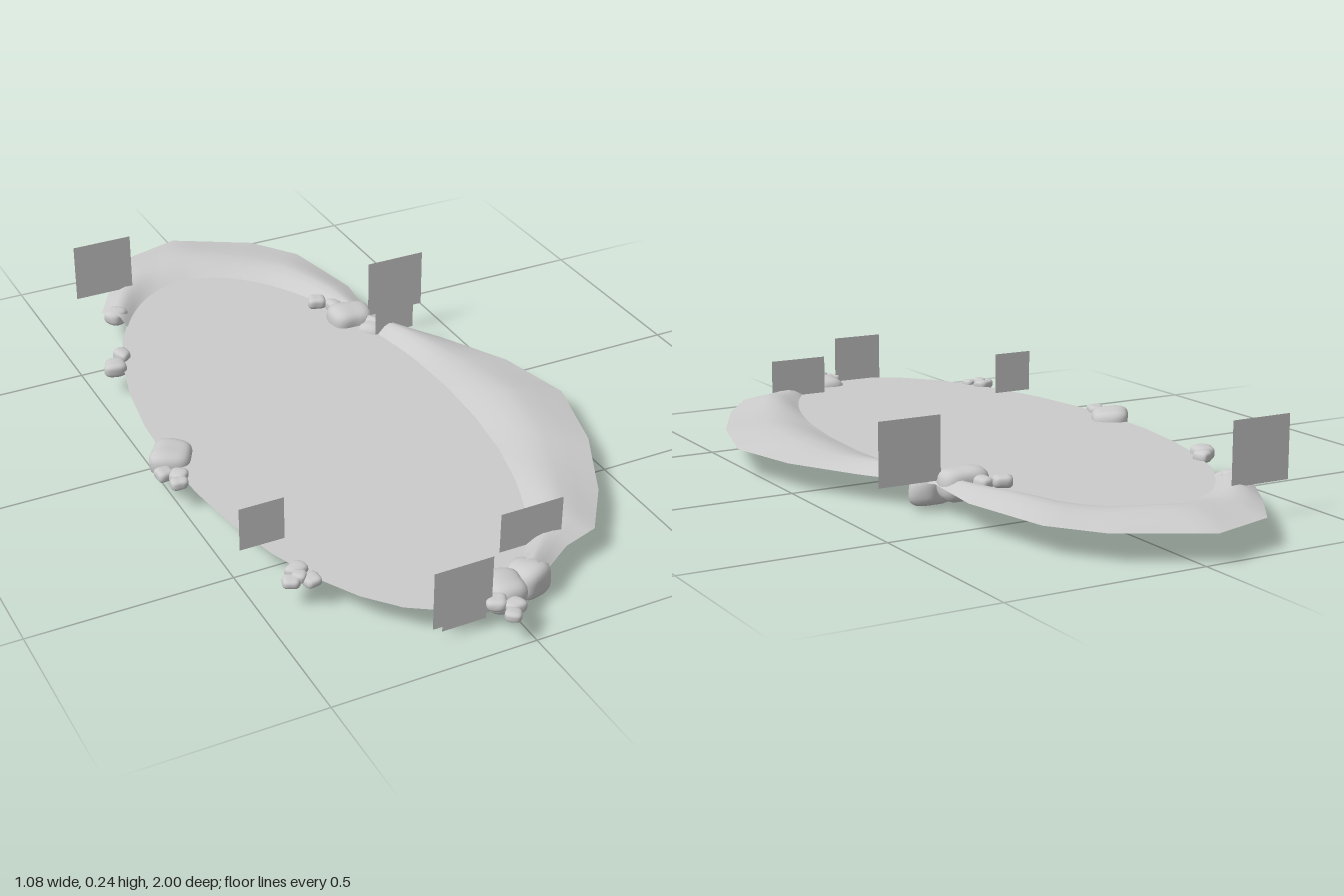
import * as THREE from 'three';
import { mergeVertices } from 'three/addons/utils/BufferGeometryUtils.js';

const mat = new THREE.MeshStandardMaterial({ color: 0xcccccc, side: THREE.DoubleSide });
const POND = { x: -0.1, z: 0.075, rx: 0.387, rz: 0.835, y: 0.076 };

function add(parent, name, geometry, x = 0, y = 0, z = 0) {
  const mesh = new THREE.Mesh(geometry, mat);
  mesh.name = name;
  mesh.position.set(x, y, z);
  parent.add(mesh);
  return mesh;
}

// Sheet sloping from a polygonal outer edge over a low crest to the pond rim
function bankGeometry(outer, a0, a1, crest) {
  const profile = [[0, 0], [0.25, 0.55], [0.45, 0.95], [0.6, 1], [0.75, 0.75], [0.88, 0.3], [1, -0.1]];
  const sub = 5, steps = (outer.length - 1) * sub, cols = profile.length;
  const pos = [], index = [];
  for (let i = 0; i <= steps; i++) {
    const seg = Math.min(Math.floor(i / sub), outer.length - 2);
    const f = i / sub - seg;
    const [p, q] = [outer[seg], outer[seg + 1]];
    const ox = p[0] + (q[0] - p[0]) * f, oz = p[1] + (q[1] - p[1]) * f;
    const a = THREE.MathUtils.degToRad(a0 + (a1 - a0) * i / steps);
    const ix = POND.x + Math.cos(a) * POND.rx * 0.985;
    const iz = POND.z + Math.sin(a) * POND.rz * 0.985;
    const wave = 1 + 0.2 * Math.sin(i * 0.5);
    for (const [t, h] of profile) {
      pos.push(ox + (ix - ox) * t, POND.y + h * crest * wave, oz + (iz - oz) * t);
    }
  }
  for (let i = 0; i < steps; i++) {
    for (let j = 0; j < cols - 1; j++) {
      const k = i * cols + j;
      index.push(k, k + 1, k + cols, k + 1, k + cols + 1, k + cols);
    }
  }
  const g = new THREE.BufferGeometry();
  g.setAttribute('position', new THREE.Float32BufferAttribute(pos, 3));
  g.setIndex(index);
  g.computeVertexNormals();
  return g;
}

// Smooth, slightly boxy and lumpy boulder
function rockGeometry(rx, ry, rz, seed) {
  let g = new THREE.IcosahedronGeometry(1, 5);
  g.deleteAttribute('normal');
  g.deleteAttribute('uv');
  g = mergeVertices(g);
  const p = g.attributes.position, v = new THREE.Vector3();
  for (let i = 0; i < p.count; i++) {
    v.fromBufferAttribute(p, i).normalize();
    const box = Math.pow(v.x ** 4 + v.y ** 4 + v.z ** 4, -0.2);
    const lump = 1 + 0.07 * Math.sin(2.6 * v.x + seed) + 0.06 * Math.sin(3.1 * v.z + 2 * seed + v.y);
    v.multiplyScalar(box * lump * 0.9);
    p.setXYZ(i, v.x, v.y, v.z);
  }
  g.rotateY(seed * 1.7);
  g.scale(rx, ry, rz);
  g.computeVertexNormals();
  return g;
}

export function createModel() {
  const model = new THREE.Group();
  model.name = 'pond';

  // Water surface
  const water = new THREE.CircleGeometry(1, 32);
  water.rotateX(-Math.PI / 2);
  water.scale(POND.rx, 1, POND.rz);
  add(model, 'water', water, POND.x, POND.y, POND.z);

  // Crescent banks
  add(model, 'backBank', bankGeometry([
    [-0.37, -0.68], [-0.29, -0.82], [-0.2, -0.95], [-0.03, -1], [0.17, -0.885],
    [0.26, -0.76], [0.305, -0.52], [0.285, -0.33],
  ], 232, 333, 0.021));
  add(model, 'leftBank', bankGeometry([
    [0.285, -0.33], [0.4, -0.15], [0.495, 0.03], [0.54, 0.23], [0.48, 0.45],
    [0.38, 0.65], [0.285, 0.78], [0.19, 0.81], [0.1, 0.87],
  ], -27, 66, 0.022));

  // Rocks by the shore: x, y, z, radii x, y, z
  const rocks = [
    [-0.347, 0.08, -0.64, 0.033, 0.022, 0.029],
    [-0.443, 0.078, -0.388, 0.034, 0.02, 0.03],
    [-0.405, 0.082, -0.432, 0.021, 0.016, 0.028],
    [-0.47, 0.072, 0.067, 0.06, 0.037, 0.057],
    [-0.517, 0.078, 0.135, 0.024, 0.016, 0.022],
    [-0.49, 0.077, 0.155, 0.025, 0.015, 0.026],
    [-0.5, 0.077, 0.185, 0.022, 0.014, 0.021],
    [-0.4, 0.078, 0.622, 0.027, 0.015, 0.022],
    [-0.427, 0.076, 0.655, 0.022, 0.014, 0.022],
    [-0.384, 0.076, 0.67, 0.022, 0.014, 0.022],
    [-0.405, 0.082, 0.65, 0.018, 0.012, 0.02],
    [-0.01, 0.058, 0.872, 0.058, 0.043, 0.053],
    [0.063, 0.05, 0.842, 0.053, 0.045, 0.048],
    [-0.06, 0.078, 0.92, 0.027, 0.016, 0.025],
    [-0.03, 0.077, 0.948, 0.025, 0.015, 0.023],
    [-0.047, 0.077, 0.975, 0.021, 0.013, 0.022],
    [0.225, 0.077, -0.348, 0.06, 0.042, 0.056],
    [0.272, 0.052, -0.28, 0.055, 0.045, 0.042],
    [0.172, 0.095, -0.447, 0.026, 0.018, 0.025],
    [0.207, 0.09, -0.418, 0.021, 0.016, 0.027],
  ];
  const rockGroup = new THREE.Group();
  rockGroup.name = 'rocks';
  model.add(rockGroup);
  rocks.forEach(([x, y, z, rx, ry, rz], i) =>
    add(rockGroup, 'rock', rockGeometry(rx, ry, rz, i * 1.3 + 0.4), x, y, z));

  // Upright plant cards facing the front: centre x, y, z, width, height
  const cards = [
    [-0.332, 0.172, -0.755, 0.163, 0.157],
    [-0.427, 0.134, 0.5, 0.112, 0.112],
    [-0.14, 0.125, 0.915, 0.146, 0.148],
    [-0.12, 0.07, 0.89, 0.11, 0.11],
    [0.122, 0.097, 0.765, 0.163, 0.165],
    [0.303, 0.133, -0.24, 0.113, 0.115],
    [0.352, 0.163, -0.33, 0.163, 0.157],
  ];
  const cardGroup = new THREE.Group();
  cardGroup.name = 'plantCards';
  model.add(cardGroup);
  for (const [x, y, z, w, h] of cards) {
    add(cardGroup, 'plantCard', new THREE.PlaneGeometry(w, h), x, y, z);
  }
  return model;
}
